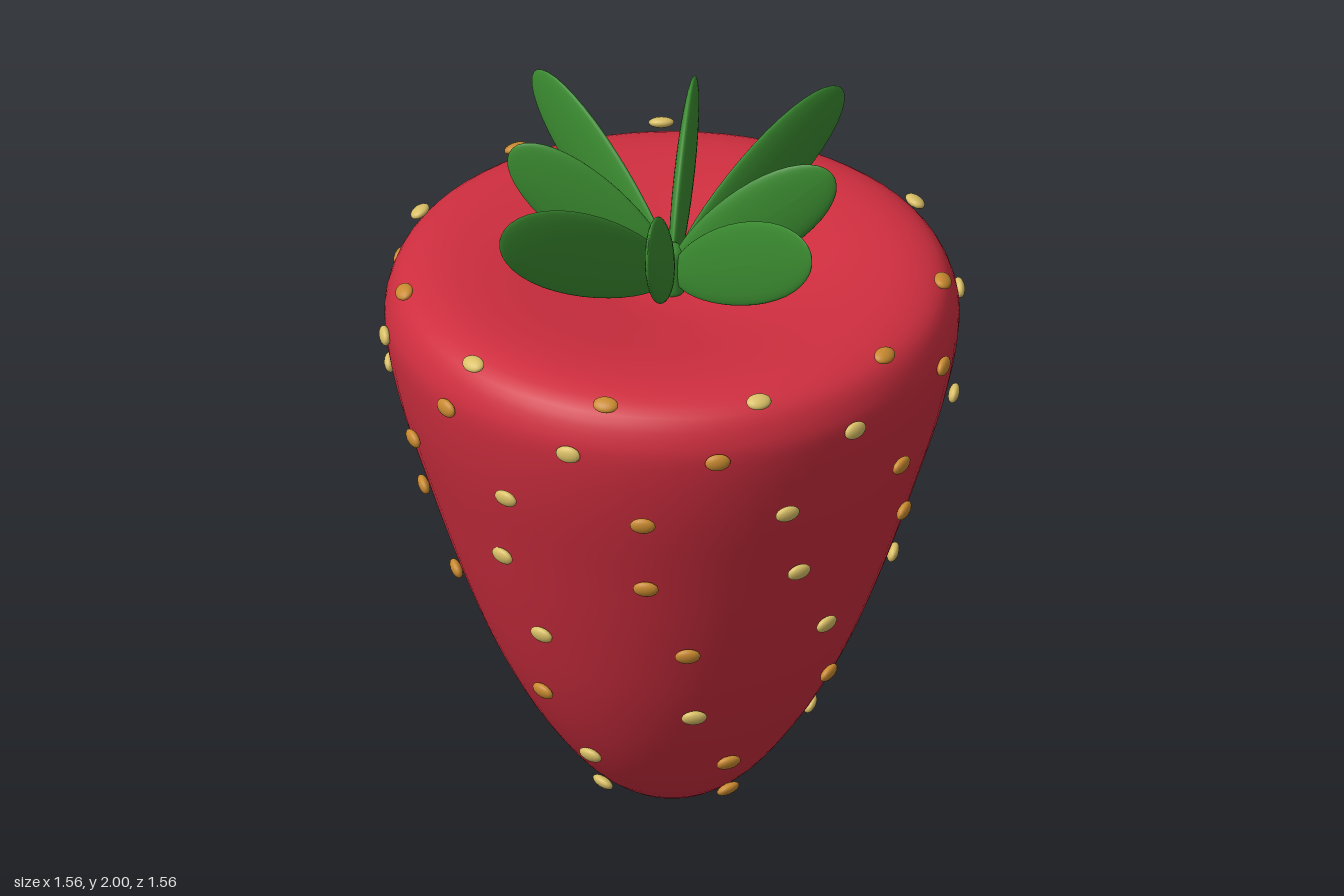
import * as THREE from 'three';

const deg = THREE.MathUtils.degToRad;

function material(name, color) {
  const m = new THREE.MeshStandardMaterial({ color });
  m.name = name;
  return m;
}

export function createModel() {
  const model = new THREE.Group();
  model.name = 'strawberry';

  const red = material('berry red', 0xcf2e3f);
  const green = material('leaf green', 0x3a8a30);
  const pale = material('pale seed yellow', 0xd9bf66);
  const amber = material('amber seed', 0xc98a30);

  function add(name, geometry, mat, parent = model) {
    const mesh = new THREE.Mesh(geometry, mat);
    mesh.name = name;
    parent.add(mesh);
    return mesh;
  }

  // Fruit: smooth turned body with a shallow hollow in the top
  const profile = [
    [0, 0], [0.1, 0.02], [0.22, 0.1], [0.36, 0.28], [0.485, 0.515], [0.585, 0.775],
    [0.67, 1.04], [0.743, 1.29], [0.775, 1.47], [0.772, 1.54], [0.735, 1.615],
    [0.65, 1.65], [0.5, 1.645], [0.3, 1.605], [0.12, 1.57], [0, 1.565],
  ].map(([r, y]) => new THREE.Vector3(r, y, 0));
  const points = new THREE.CatmullRomCurve3(profile, false, 'centripetal')
    .getPoints(60)
    .map((p) => new THREE.Vector2(Math.max(p.x, 0), p.y));
  add('fruit', new THREE.LatheGeometry(points, 72), red);

  // Stem: small rounded nub in the hollow
  add('stem', new THREE.CapsuleGeometry(0.035, 0.1, 8, 20), green).position.y = 1.63;

  // Leaves: flat upright ovals, a little narrower at the base
  const leaves = new THREE.Group();
  leaves.name = 'leaves';
  model.add(leaves);
  function leafGeometry(thickness, width, length) {
    const g = new THREE.SphereGeometry(1, 32, 20);
    g.rotateX(Math.PI / 2);
    const p = g.attributes.position;
    for (let i = 0; i < p.count; i++) p.setY(i, p.getY(i) * (1 + 0.12 * p.getZ(i)));
    g.scale(thickness, width, length);
    g.computeVertexNormals();
    return g;
  }
  const steepLeaf = leafGeometry(0.024, 0.11, 0.285);
  const longLeaf = leafGeometry(0.019, 0.115, 0.345);
  for (let i = 0; i < 8; i++) {
    const long = i % 2 === 1;
    const azimuth = deg(i * 45 - (long ? 0 : 2.5));
    const reach = long ? 0.3 : 0.22;
    const leaf = add('leaf', long ? longLeaf : steepLeaf, green, leaves);
    leaf.position.set(Math.sin(azimuth) * reach, 1.792, Math.cos(azimuth) * reach);
    leaf.rotation.set(deg(long ? -32 : -41), azimuth, 0, 'YXZ');
  }

  // Seeds: rings of ovals lying on the skin, alternating in colour
  const seeds = new THREE.Group();
  seeds.name = 'seeds';
  model.add(seeds);
  const seedGeometry = new THREE.SphereGeometry(1, 16, 12);
  seedGeometry.scale(0.035, 0.025, 0.015);
  // height, radius, count, first azimuth, upward tilt, first colour
  const rings = [
    [0.1, 0.24, 4, 45, -45, amber],
    [0.28, 0.375, 6, 30, -31, amber],
    [0.515, 0.497, 7, 270, -24, pale],
    [0.775, 0.6, 9, 90, -19, pale],
    [1.04, 0.685, 10, 0, -16, amber],
    [1.29, 0.765, 12, 0, -13, amber],
    [1.5, 0.785, 12, 15, 0, amber],
    [1.645, 0.735, 11, 90, 65, amber],
  ];
  for (const [y, r, count, start, tilt, first] of rings) {
    const second = first === pale ? amber : pale;
    for (let i = 0; i < count; i++) {
      const azimuth = deg(start + (i * 360) / count);
      const seed = add('seed', seedGeometry, i % 2 ? second : first, seeds);
      seed.position.set(Math.sin(azimuth) * r, y, Math.cos(azimuth) * r);
      seed.rotation.set(-deg(tilt), azimuth, 0, 'YXZ');
    }
  }

  return model;
}
